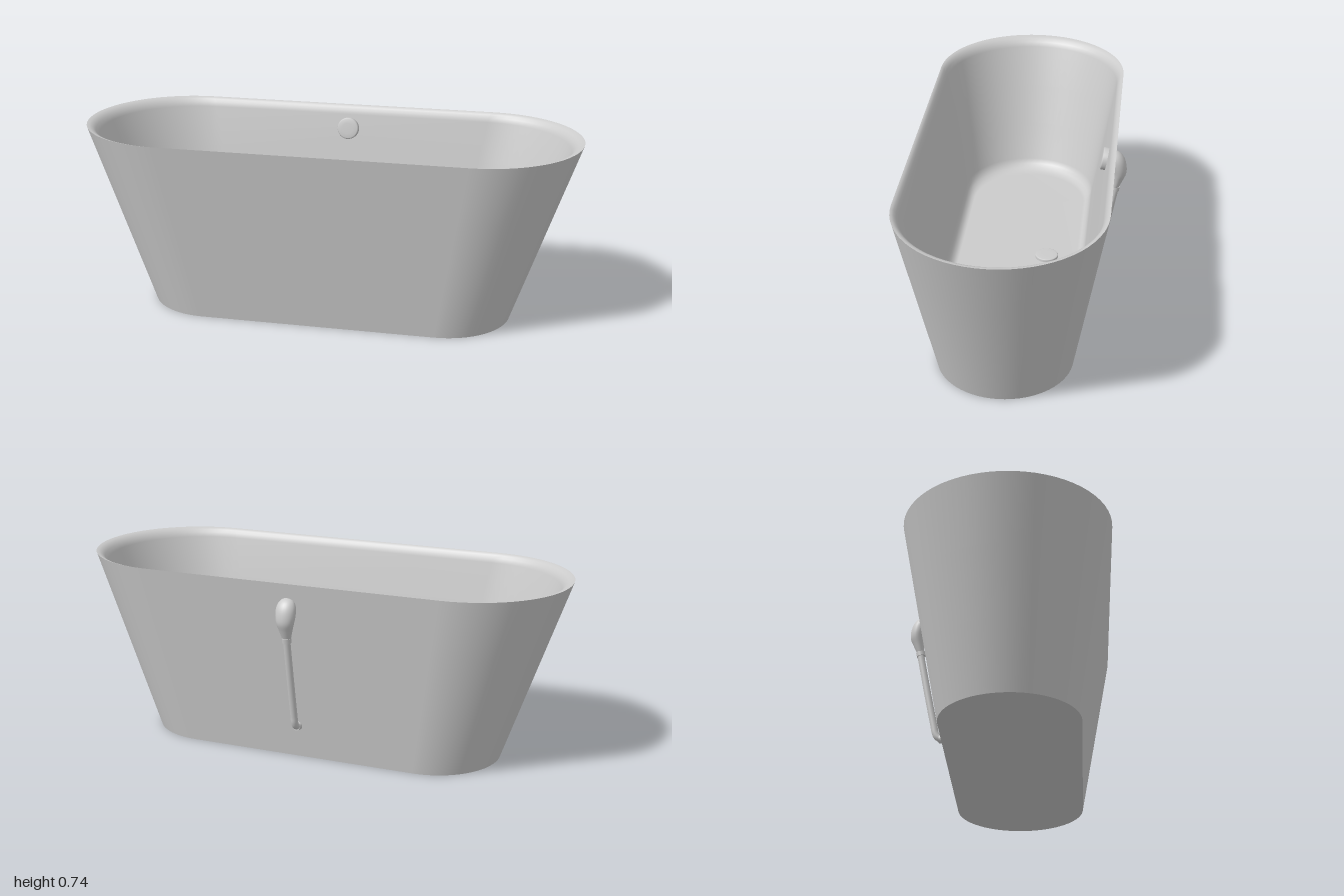
import * as THREE from 'three';

const material = new THREE.MeshStandardMaterial({ color: 0xcccccc });
const AXIS_Z = 0.02; // z of the tub's long axis

// Skin a stack of closed rings (each an array of [x, y, z])
function loft(rings) {
  const n = rings[0].length, index = [];
  for (let i = 0; i < rings.length - 1; i++) {
    for (let j = 0; j < n; j++) {
      const a = i * n + j, b = i * n + (j + 1) % n;
      index.push(a, a + n, b, b, a + n, b + n);
    }
  }
  const g = new THREE.BufferGeometry();
  g.setAttribute('position', new THREE.Float32BufferAttribute(rings.flat(2), 3));
  g.setIndex(index);
  g.computeVertexNormals();
  return g;
}

// Stadium outline: two half circles of radius r, centred at x = +-s
function stadium(y, s, r, steps = 32) {
  const ring = [];
  for (const side of [1, -1]) {
    for (let i = 0; i <= steps; i++) {
      const a = -Math.PI / 2 + Math.PI * i / steps;
      ring.push([side * (s + r * Math.cos(a)), y, AXIS_Z + side * r * Math.sin(a)]);
    }
  }
  return ring;
}

function ellipse(y, z, rx, rz, steps = 24) {
  return Array.from({ length: steps }, (_, i) => {
    const a = 2 * Math.PI * i / steps;
    return [rx * Math.cos(a), y, z + rz * Math.sin(a)];
  });
}

function add(parent, name, geometry) {
  const mesh = new THREE.Mesh(geometry, material);
  mesh.name = name;
  parent.add(mesh);
  return mesh;
}

// Low domed disc with a rounded edge, facing +y
function button(radius, height) {
  const profile = [[radius, 0], [radius, height * 0.7], [radius * 0.97, height * 0.85],
    [radius * 0.88, height * 0.95], [radius * 0.5, height], [0, height]];
  return new THREE.LatheGeometry(profile.map(([x, y]) => new THREE.Vector2(x, y)), 40);
}

export function createModel() {
  const model = new THREE.Group();
  model.name = 'bathtub';

  // Tub shell: profiles of [height, straight half length, end radius]
  const tub = new THREE.Group();
  tub.name = 'tub';
  model.add(tub);
  const sections = {
    base: [[0, 0.474, 0], [0, 0.474, 0.266]],
    outerWall: [[0, 0.474, 0.266], [0.25, 0.518, 0.3095], [0.5, 0.562, 0.353], [0.742, 0.605, 0.395]],
    rimAndBasin: [
      [0.742, 0.605, 0.395], [0.74, 0.599, 0.389], [0.734, 0.593, 0.382],
      [0.723, 0.588, 0.375], [0.705, 0.583, 0.368], [0.54, 0.553, 0.337],
      [0.38, 0.523, 0.307], [0.225, 0.495, 0.278], [0.205, 0.49, 0.272],
      [0.192, 0.482, 0.263], [0.183, 0.472, 0.252], [0.18, 0.46, 0.24], [0.18, 0.45, 0],
    ],
  };
  for (const [name, rows] of Object.entries(sections)) {
    add(tub, name, loft(rows.map(([y, s, r]) => stadium(y, s, r))));
  }

  // Drain plug in the floor
  add(model, 'drainPlug', button(0.047, 0.012)).position.set(0, 0.18, -0.1);

  // Overflow cover, tilted to lie on the inner back wall
  const cover = add(model, 'overflowCover', button(0.045, 0.022));
  cover.position.set(0, 0.648, -0.335);
  cover.rotation.x = Math.PI / 2 - 0.18;

  // Overflow plumbing on the outside of the back wall
  const plumbing = new THREE.Group();
  plumbing.name = 'overflowPlumbing';
  model.add(plumbing);

  // Bulbous housing: [height, z, depth radius], smoothed along a spline
  const housing = new THREE.CatmullRomCurve3([
    [0.525, -0.372, 0.0145], [0.56, -0.38, 0.022], [0.59, -0.385, 0.029], [0.62, -0.381, 0.033],
    [0.65, -0.374, 0.032], [0.67, -0.368, 0.025], [0.681, -0.364, 0.014], [0.685, -0.362, 0],
  ].map((p) => new THREE.Vector3(...p)));
  add(plumbing, 'overflowHousing', loft(housing.getPoints(28).map((p) => {
    const r = Math.max(p.z, 0);
    return ellipse(p.x, p.y, r * 1.2, r);
  })));

  // Collar, slanted pipe bending into the wall, and the flare where it enters
  const collar = add(plumbing, 'collar', new THREE.CylinderGeometry(0.018, 0.018, 0.02, 24));
  collar.position.set(0, 0.52, -0.371);
  collar.rotation.x = -0.19;
  const path = [[0.525, -0.373], [0.34, -0.338], [0.19, -0.308], [0.165, -0.303],
    [0.149, -0.295], [0.14, -0.282], [0.138, -0.255]];
  const curve = new THREE.CatmullRomCurve3(path.map(([y, z]) => new THREE.Vector3(0, y, z)));
  add(plumbing, 'pipe', new THREE.TubeGeometry(curve, 64, 0.0142, 20));
  const flare = add(plumbing, 'wallFlare', new THREE.CylinderGeometry(0.021, 0.0155, 0.034, 24));
  flare.position.set(0, 0.138, -0.271);
  flare.rotation.x = Math.PI / 2;

  return model;
}
